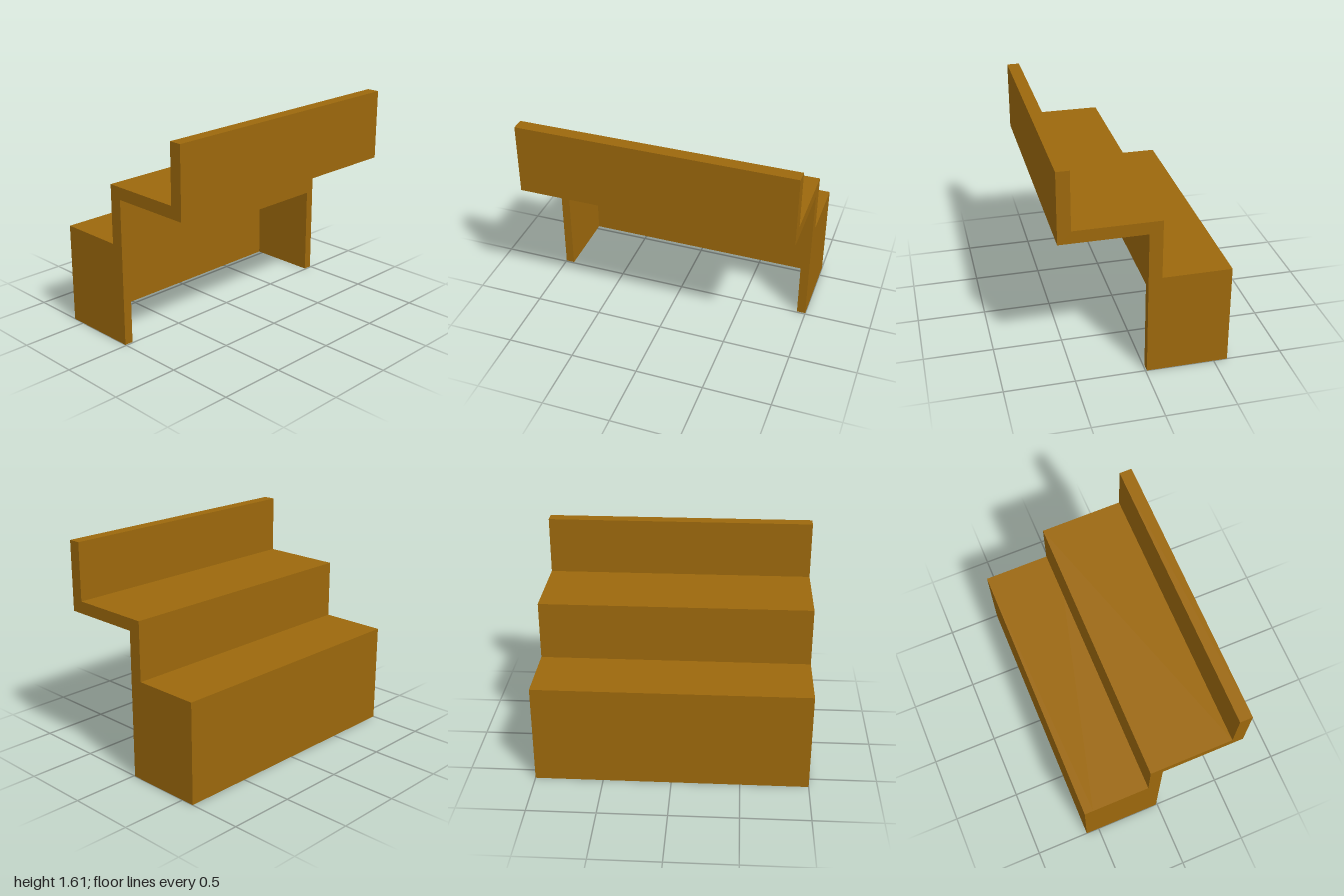
import * as THREE from 'three';

const material = new THREE.MeshStandardMaterial({ color: 0x9c680c });

// Extrudes a closed outline of [x, y] points
function extrude(points, depth) {
  const shape = new THREE.Shape(points.map(([x, y]) => new THREE.Vector2(x, y)));
  return new THREE.ExtrudeGeometry(shape, { depth, bevelEnabled: false });
}

function addPart(group, name, geometry) {
  const mesh = new THREE.Mesh(geometry, material);
  mesh.name = name;
  group.add(mesh);
}

export function createModel() {
  const group = new THREE.Group();
  group.name = 'steppedStand';

  const wall = 0.065, halfWidth = 1, inner = halfWidth - wall;
  const front = -0.01, back = -0.6, baseTop = 0.745, openTop = 0.67;

  // Base side walls and top, open at the front and below
  const arch = extrude([
    [-halfWidth, 0], [-inner, 0], [-inner, openTop], [inner, openTop],
    [inner, 0], [halfWidth, 0], [halfWidth, baseTop], [-halfWidth, baseTop],
  ], front - back - wall);
  arch.translate(0, 0, back + wall);
  addPart(group, 'baseFrame', arch);

  // Base back wall
  const panel = new THREE.BoxGeometry(2 * halfWidth, baseTop, wall);
  panel.translate(0, baseTop / 2, back + wall / 2);
  addPart(group, 'baseBackPanel', panel);

  // Riser, overhanging shelf and upright lip as one [z, y] side profile
  const steps = extrude([
    [-0.105, baseTop], [front, baseTop], [front, 1.09], [0.6, 1.09],
    [0.6, 1.607], [0.508, 1.607], [0.508, 1.18], [-0.105, 1.18],
  ], 2 * halfWidth);
  steps.rotateY(-Math.PI / 2).translate(halfWidth, 0, 0);
  addPart(group, 'upperShelf', steps);

  return group;
}
